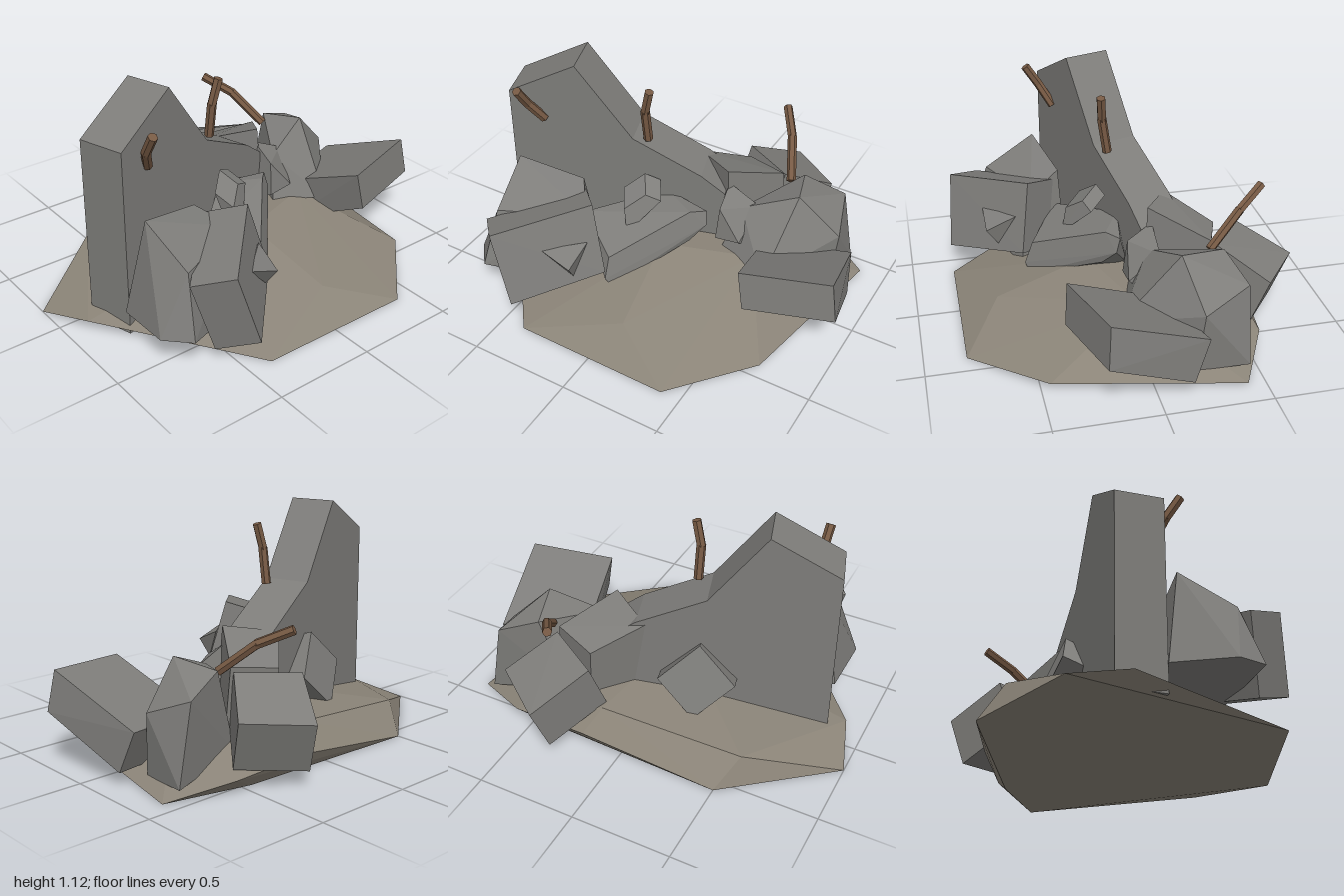
import * as THREE from 'three';
import { ConvexGeometry } from 'three/addons/geometries/ConvexGeometry.js';

const V = (p) => new THREE.Vector3(...p);
const material = (color) => new THREE.MeshStandardMaterial({ color, flatShading: true, roughness: 1 });

export function createModel() {
  const group = new THREE.Group();
  const concrete = material(0x7e7d7a);
  const dirt = material(0x8b8478);
  const rust = material(0x775a44);

  const add = (name, geometry, mat = concrete) => {
    const mesh = new THREE.Mesh(geometry, mat);
    mesh.name = name;
    group.add(mesh);
    return mesh;
  };

  // Irregular stone: the hull of a few corners
  const stone = (name, corners, mat) => add(name, new ConvexGeometry(corners.map(V)), mat);

  // Slanted block: one quad face pushed along a depth vector
  const block = (name, face, depth) =>
    stone(name, [...face, ...face.map((p) => p.map((c, i) => c + depth[i]))]);

  // Bent bar: closed six-sided segments through the given points
  const bar = (name, points, radius = 0.023) => {
    const part = new THREE.Group();
    part.name = name;
    for (let i = 1; i < points.length; i++) {
      const a = V(points[i - 1]), b = V(points[i]);
      const dir = b.clone().sub(a);
      const segment = new THREE.Mesh(new THREE.CylinderGeometry(radius, radius, dir.length() + 0.008, 6), rust);
      segment.name = name + 'Segment';
      segment.position.copy(a).add(b).multiplyScalar(0.5);
      segment.quaternion.setFromUnitVectors(new THREE.Vector3(0, 1, 0), dir.normalize());
      part.add(segment);
    }
    group.add(part);
  };

  // Low mound of dirt under the rubble
  stone('groundMound', [
    [-1, 0, -0.16], [-0.91, 0.06, 0.11], [-0.38, 0, 0.79], [0.4, 0, 0.8], [0.73, 0.04, 0.46],
    [0.87, 0, -0.42], [0.58, 0.07, -0.57], [0.18, 0.1, -0.6], [-0.5, 0, -0.56], [0.45, 0, -0.52],
    [0.08, 0.11, 0.61], [-0.58, 0.14, -0.43], [0.12, 0.21, -0.5], [0.45, 0.23, 0], [0.02, 0.24, 0.15],
  ], dirt);

  // Broken wall: outline extruded across its thickness, turned to run backward
  const outline = [[0, 0], [1.07, 0], [1.07, 0.48], [0.95, 0.57], [0.61, 0.74], [0.335, 1.11], [0, 0.93]];
  const wall = add('brokenWall', new THREE.ExtrudeGeometry(
    new THREE.Shape(outline.map(([x, y]) => new THREE.Vector2(x, y))),
    { depth: 0.23, bevelEnabled: false }));
  wall.position.set(-0.84, 0.01, 0.03);
  wall.rotation.y = 0.305;

  // Small block leaning on the back of the wall
  const backBlock = add('wallBackBlock', new THREE.BoxGeometry(0.26, 0.27, 0.26));
  backBlock.position.set(-0.22, 0.29, -0.14);
  backBlock.rotation.set(0.35, 0.3, 0.7);

  // Large blocks at the front right
  block('frontBlock', [[-0.55, 0.49, 0.76], [-0.21, 0.565, 0.4], [-0.12, 0.22, 0.45], [-0.44, 0.13, 0.79]],
    [-0.14, -0.06, -0.15]);
  stone('frontBlockChip', [[-0.37, 0.38, 0.62], [-0.2, 0.39, 0.47], [-0.23, 0.23, 0.56], [-0.21, 0.32, 0.62], [-0.32, 0.34, 0.5]]);
  stone('frontRearBlock', [
    [-0.7, 0.61, 0.3], [-0.38, 0.54, 0.22], [-0.27, 0.46, 0.38], [-0.66, 0.46, 0.56],
    [-0.8, 0.16, 0.54], [-0.79, 0.14, 0.25], [-0.7, 0.17, 0.66], [-0.27, 0.07, 0.44], [-0.3, 0.1, 0.2],
  ]);

  // Tilted slab and small fragments in the middle
  stone('middleSlab', [
    [-0.13, 0.27, 0.4], [0.14, 0.44, 0.08], [0.2, 0.43, 0.02], [0.21, 0.36, 0.04], [0.15, 0.28, 0.1],
    [-0.1, 0.11, 0.42], [-0.13, 0.16, 0.44], [-0.36, 0.36, 0.25], [-0.05, 0.44, -0.02], [-0.3, 0.15, 0.2], [0.05, 0.2, -0.05],
  ]);
  block('middleFragment', [[-0.2, 0.5, 0.14], [-0.12, 0.57, 0.07], [-0.05, 0.54, 0.04], [-0.17, 0.38, 0.17]],
    [0.05, -0.06, 0.08]);
  stone('centreRock', [
    [0.25, 0.53, -0.12], [0.42, 0.45, -0.12], [0.38, 0.3, 0.02], [0.25, 0.28, 0.02], [0.26, 0.45, 0.0], [0.45, 0.2, -0.15], [0.2, 0.2, -0.2],
  ]);

  // Pair of blocks at the back
  block('rearUpperBlock', [[0.02, 0.57, -0.24], [0.25, 0.61, -0.1], [0.43, 0.5, -0.36], [0.21, 0.47, -0.44]],
    [0.02, -0.34, 0.02]);
  block('rearLowerBlock', [[0.33, 0.32, -0.8], [0.6, 0.34, -0.6], [0.43, 0.48, -0.38], [0.16, 0.46, -0.54]],
    [-0.04, -0.24, 0.08]);

  // Rock and slab at the left
  stone('leftRock', [
    [0.34, 0.44, -0.08], [0.6, 0.545, -0.17], [0.53, 0.51, -0.39], [0.73, 0.43, -0.45], [0.8, 0.34, -0.23],
    [0.28, 0.23, 0], [0.55, 0.2, 0.1], [0.8, 0.05, -0.45], [0.78, 0.04, -0.2], [0.4, 0.1, -0.35],
  ]);
  block('leftSlab', [[0.96, 0.465, 0.234], [0.87, 0.268, -0.234], [0.9, 0.07, -0.16], [0.995, 0.27, 0.25]],
    [-0.42, -0.03, 0.11]);

  // Rusty reinforcing bars
  bar('wallEndBar', [[-0.66, 1.01, 0.325], [-0.655, 0.91, 0.26], [-0.61, 0.81, 0.2]]);
  bar('wallTopBar', [[-0.105, 1.03, 0.045], [-0.135, 0.91, 0.035], [-0.135, 0.74, 0.01]]);
  bar('rearBar', [[0.31, 0.7, -0.63], [0.4, 0.63, -0.5], [0.48, 0.49, -0.34]]);

  return group;
}
